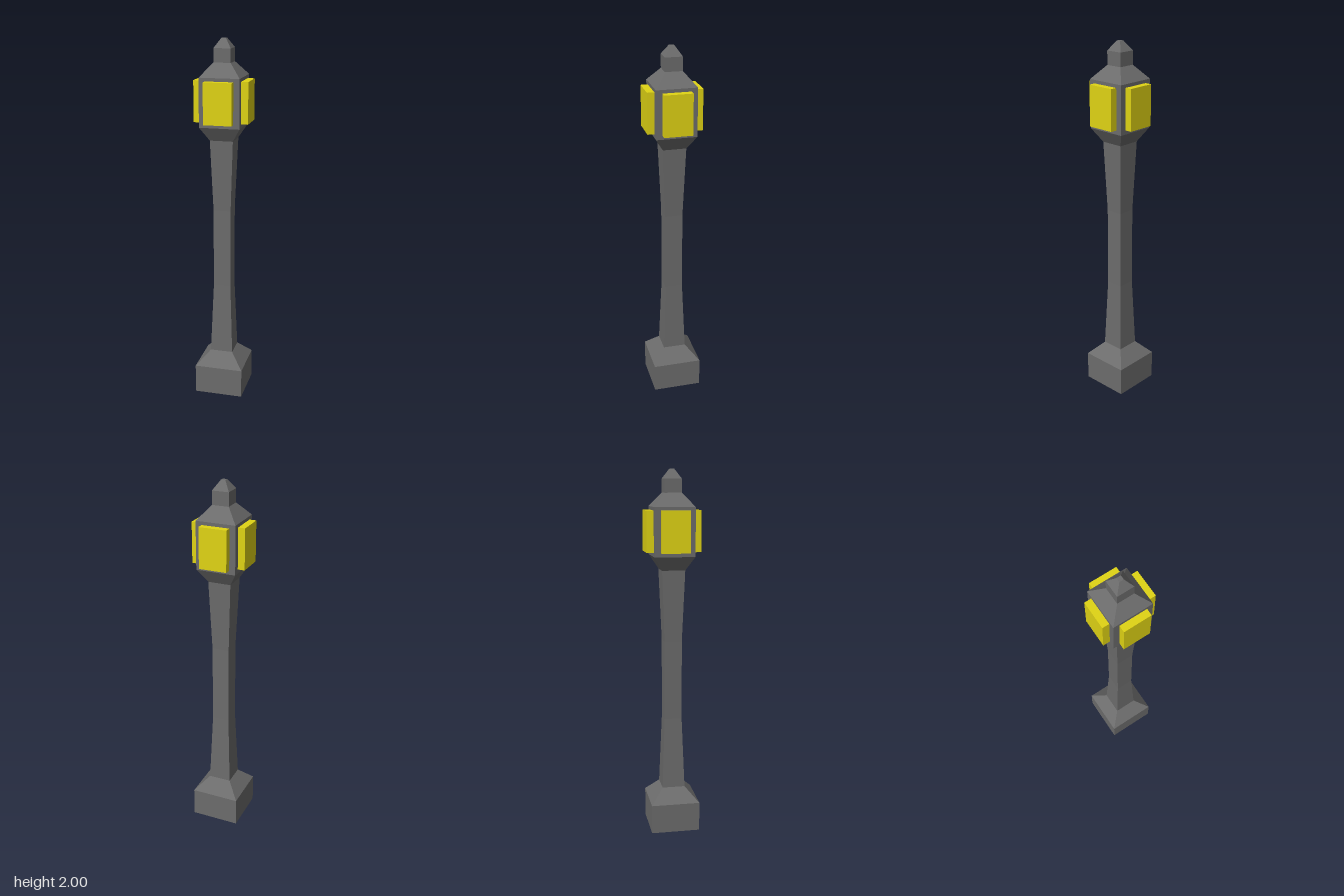
import * as THREE from 'three';

export function createModel() {
  const lamp = new THREE.Group();
  lamp.name = 'lampPost';
  const metal = new THREE.MeshStandardMaterial({ color: 0x6c6c6c, flatShading: true });
  const glass = new THREE.MeshStandardMaterial({ color: 0xe0d414, flatShading: true });

  // Square section swept up a profile of [half width, height]
  function squareColumn(name, profile) {
    const points = profile.map(([half, y]) => new THREE.Vector2(half * Math.SQRT2, y));
    const geometry = new THREE.LatheGeometry(points, 4, Math.PI / 4).toNonIndexed();
    geometry.computeVertexNormals();
    const mesh = new THREE.Mesh(geometry, metal);
    mesh.name = name;
    lamp.add(mesh);
  }

  // Plinth with sloped shoulder
  squareColumn('base', [[0, 0], [0.135, 0], [0.135, 0.163], [0.063, 0.24]]);

  // Post, narrower in the middle
  squareColumn('post', [[0.063, 0.24], [0.048, 0.64], [0.048, 1.08], [0.063, 1.47]]);

  // Lantern housing with flared underside and sloped roof
  squareColumn('lantern', [[0.063, 1.47], [0.109, 1.545], [0.109, 1.805], [0.046, 1.877]]);

  // Finial
  squareColumn('finial', [[0.046, 1.877], [0.046, 1.95], [0.012, 2], [0, 2]]);

  // Four glowing panes standing proud of the housing
  const paneGeometry = new THREE.BoxGeometry(0.152, 0.22, 0.05);
  const panes = new THREE.Group();
  panes.name = 'panes';
  ['frontPane', 'leftPane', 'backPane', 'rightPane'].forEach((name, i) => {
    const angle = i * Math.PI / 2;
    const pane = new THREE.Mesh(paneGeometry, glass);
    pane.name = name;
    pane.position.set(Math.sin(angle) * 0.122, 1.677, Math.cos(angle) * 0.122);
    pane.rotation.y = angle;
    panes.add(pane);
  });
  lamp.add(panes);

  return lamp;
}
